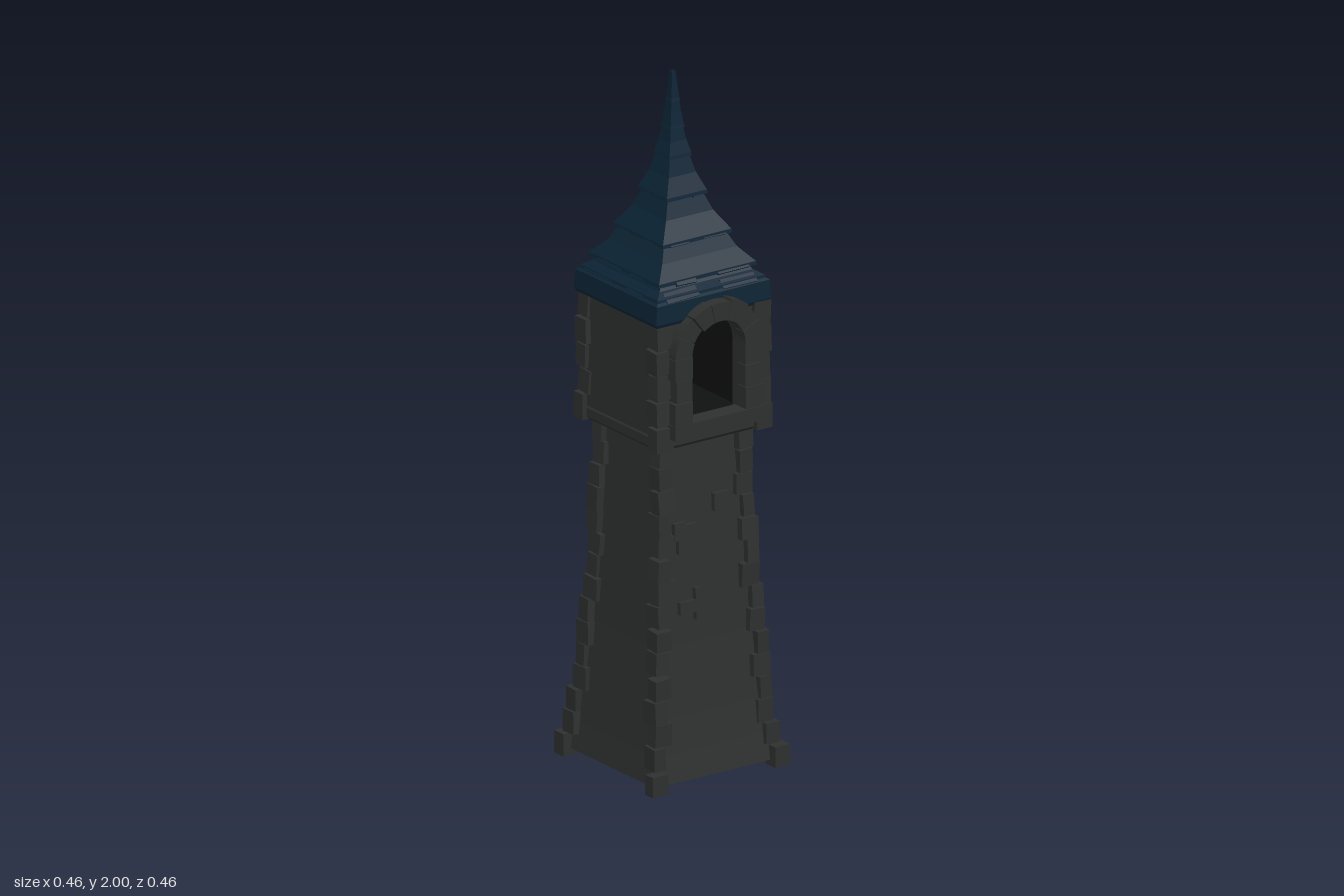
import * as THREE from 'three';

const makeMaterial = (color) => new THREE.MeshStandardMaterial({ color, flatShading: true, side: THREE.DoubleSide });
const stone = makeMaterial(0x2e3030);
const darkStone = makeMaterial(0x101111);
const slate = makeMaterial(0x0c2435);

// Half width of the tapering shaft at [height, half width]
const TAPER = [[0.02, 0.206], [0.1, 0.194], [0.2, 0.183], [0.4, 0.163], [0.7, 0.145], [1.0, 0.134]];
const CHAMBER = 0.178;

function shaftHalf(y) {
  for (let i = 1; i < TAPER.length; i++) {
    const [y0, h0] = TAPER[i - 1], [y1, h1] = TAPER[i];
    if (y <= y1) return h0 + (h1 - h0) * Math.max(0, (y - y0) / (y1 - y0));
  }
  return 0.134;
}

function seeded(seed) {
  return () => (seed = (seed * 16807) % 2147483647) / 2147483647;
}

function add(parent, name, geometry, material, x = 0, y = 0, z = 0) {
  const mesh = new THREE.Mesh(geometry, material);
  mesh.name = name;
  mesh.position.set(x, y, z);
  parent.add(mesh);
  return mesh;
}

// Square solid whose half width follows a [half width, height] profile
function squareLathe(profile) {
  const pts = profile.map(([h, y]) => new THREE.Vector2(h * Math.SQRT2, y));
  return new THREE.LatheGeometry(pts, 4, Math.PI / 4);
}

function namedGroup(parent, name) {
  const g = new THREE.Group();
  g.name = name;
  parent.add(g);
  return g;
}

// Stack of uneven blocks up each of the four corners
function cornerStones(parent, name, y0, y1, count, half, out, rand) {
  const group = namedGroup(parent, name);
  const step = (y1 - y0) / count;
  for (const sx of [-1, 1]) for (const sz of [-1, 1]) {
    for (let i = 0; i < count; i++) {
      const y = y0 + (i + 0.5) * step;
      const edge = half(y) + out * (i === 0 ? 1.25 : 0.5 + 0.65 * rand());
      const wx = (i % 2 ? 0.036 : 0.048) + 0.012 * rand();
      const wz = (i % 2 ? 0.048 : 0.036) + 0.012 * rand();
      const block = add(group, 'cornerStone', new THREE.BoxGeometry(wx, step * (0.88 + 0.16 * rand()), wz),
        stone, sx * (edge - wx / 2), y, sz * (edge - wz / 2));
      if (i > 0) block.rotation.set((rand() - 0.5) * 0.14, (rand() - 0.5) * 0.14, (rand() - 0.5) * 0.14);
    }
  }
}

// Raised stones on one wall: [offset along the wall, height, width, block height]
function wallStones(parent, name, list, turn) {
  const group = namedGroup(parent, name);
  group.rotation.y = turn;
  for (const [u, y, w, h] of list) {
    const inShaft = y < 0.99;
    const face = inShaft ? shaftHalf(y) : CHAMBER;
    const block = add(group, 'wallStone', new THREE.BoxGeometry(w, h, 0.03), stone, u, y, face);
    if (inShaft) block.rotation.x = -Math.atan((shaftHalf(y - 0.05) - shaftHalf(y + 0.05)) / 0.1);
  }
}

// Arched outline from a flat bottom edge up to a round head
function archPath(path, half, bottom, spring) {
  path.moveTo(-half, bottom);
  path.lineTo(half, bottom);
  path.lineTo(half, spring);
  path.absarc(0, spring, half, 0, Math.PI, false);
  path.lineTo(-half, bottom);
  return path;
}

function buildChamber(parent) {
  const g = namedGroup(parent, 'chamber');
  const c = CHAMBER, bottom = 0.99, top = 1.36, t = 0.025;
  const h = top - bottom, mid = (top + bottom) / 2;
  add(g, 'chamberBase', squareLathe([[0, 0.98], [0.172, 0.98], [0.181, 0.99], [0.181, 1.015], [c, 1.02], [0, 1.02]]), stone);
  // Front wall with the arched opening
  const wall = new THREE.Shape();
  wall.moveTo(-c, bottom).lineTo(c, bottom).lineTo(c, top).lineTo(-c, top).lineTo(-c, bottom);
  wall.holes.push(archPath(new THREE.Path(), 0.09, 1.04, 1.25));
  add(g, 'frontWall', new THREE.ExtrudeGeometry(wall, { depth: t, bevelEnabled: false, curveSegments: 10 }), stone, 0, 0, c - t);
  // Remaining walls and ceiling around the hollow room
  add(g, 'backWall', new THREE.BoxGeometry(2 * c, h, t), stone, 0, mid, -c + t / 2);
  for (const s of [-1, 1]) {
    add(g, 'sideWall', new THREE.BoxGeometry(t, h, 2 * c), stone, s * (c - t / 2), mid, 0);
    add(g, 'roomLining', new THREE.BoxGeometry(0.004, 0.32, 0.3), darkStone, s * (c - t - 0.002), 1.185, 0);
  }
  add(g, 'ceiling', new THREE.BoxGeometry(2 * c, 0.02, 2 * c), stone, 0, top - 0.01, 0);
  add(g, 'roomFloor', new THREE.BoxGeometry(0.3, 0.004, 0.3), darkStone, 0, 1.023, 0);
}

function buildWindowFrame(parent, rand) {
  const g = namedGroup(parent, 'windowFrame');
  const inner = 0.09, spring = 1.25, z0 = 0.165;
  // Wedge stones round the arch, the middle three standing proudest
  const n = 7;
  for (let i = 0; i < n; i++) {
    const a0 = (i + 0.02) * Math.PI / n, a1 = (i + 0.98) * Math.PI / n;
    const outer = 0.143 + 0.008 * rand();
    const s = new THREE.Shape();
    s.absarc(0, spring, outer, a0, a1, false);
    s.absarc(0, spring, inner, a1, a0, true);
    s.closePath();
    const depth = Math.abs(i - 3) < 2 ? 0.06 : 0.046 + 0.008 * rand();
    add(g, 'archStone', new THREE.ExtrudeGeometry(s, { depth, bevelEnabled: false, curveSegments: 3 }), stone, 0, 0, z0);
  }
  // Jamb stones and sill
  for (const s of [-1, 1]) for (let i = 0; i < 3; i++) {
    const w = (i % 2 ? 0.05 : 0.058) + 0.004 * rand(), d = 0.046 + 0.008 * rand();
    add(g, 'jambStone', new THREE.BoxGeometry(w, 0.062, d), stone, s * (inner + w / 2), 1.092 + i * 0.064, z0 + d / 2);
  }
  add(g, 'sill', new THREE.BoxGeometry(0.3, 0.042, 0.055), stone, 0, 1.04, z0 + 0.0275);
}

function buildRoof(parent, rand) {
  const g = namedGroup(parent, 'roof');
  g.position.set(0.004, 0, -0.003);
  add(g, 'eaves', squareLathe([[0, 1.345], [0.188, 1.345], [0.193, 1.355], [0.19, 1.408], [0.165, 1.425], [0, 1.43]]), slate);
  // Overlapping tiers: bottom height, bottom half width, top height, top half width
  const tiers = [
    [1.412, 0.182, 1.46, 0.14], [1.45, 0.165, 1.55, 0.1], [1.54, 0.117, 1.665, 0.054], [1.65, 0.069, 1.77, 0.03],
    [1.757, 0.038, 1.85, 0.019], [1.838, 0.024, 1.925, 0.012], [1.915, 0.015, 2.0, 0.006],
  ];
  tiers.forEach(([y0, h0, y1, h1], i) => {
    const ym = y0 + (y1 - y0) * 0.5, hm = h1 + (h0 - h1) * 0.4;
    const tier = add(g, 'roofTier', squareLathe([[0, y0], [h0, y0], [h0 - 0.002, y0 + 0.01], [hm, ym], [h1, y1], [0, y1]]), slate);
    // Loose slates along the lower edge of the wide tiers
    if (i > 3) return;
    const slope = Math.atan2(h0 - hm, ym - y0);
    for (let side = 0; side < 4; side++) {
      const row = namedGroup(tier, 'slateRow');
      row.rotation.y = side * Math.PI / 2;
      for (let k = 0; k < 2; k++) {
        const w = h0 * (0.35 + 0.35 * rand()), len = 0.02 + 0.015 * rand();
        const tile = add(row, 'slate', new THREE.BoxGeometry(w, len, 0.008), slate,
          (k - 0.5) * h0 * (0.7 + 0.4 * rand()), y0 + 0.008, h0 - 0.008);
        tile.rotation.set(-slope, 0, (rand() - 0.5) * 0.08);
      }
    }
  });
}

export function createModel() {
  const model = new THREE.Group();
  model.name = 'tower';
  const rand = seeded(4711);

  const profile = TAPER.map(([y, h]) => [h, y]);
  add(model, 'shaft', squareLathe([[0, 0.02], ...profile, [0, 1.0]]), stone);
  cornerStones(model, 'shaftCorners', 0, 0.985, 15, shaftHalf, 0.021, rand);

  const upper = namedGroup(model, 'upperStorey');
  upper.position.x = 0.003;
  buildChamber(upper);
  cornerStones(upper, 'chamberCorners', 0.98, 1.35, 5, () => CHAMBER, 0.013, rand);
  buildWindowFrame(upper, rand);

  wallStones(model, 'frontStones', [
    [-0.07, 0.965, 0.06, 0.035], [0.055, 0.785, 0.05, 0.05], [-0.06, 0.7, 0.065, 0.08],
    [-0.085, 0.725, 0.04, 0.05], [-0.06, 0.505, 0.07, 0.035], [-0.03, 0.51, 0.025, 0.09],
  ], 0);
  wallStones(model, 'sideStones', [
    [-0.03, 0.945, 0.07, 0.065], [-0.055, 0.735, 0.07, 0.07], [-0.085, 0.675, 0.06, 0.04],
    [-0.075, 0.49, 0.07, 0.07], [0.0, 0.385, 0.06, 0.055], [0.03, 0.325, 0.07, 0.07],
    [-0.03, 1.22, 0.07, 0.07], [-0.08, 1.16, 0.075, 0.1], [0.012, 1.055, 0.07, 0.035],
    [0.09, 1.14, 0.06, 0.05], [0.07, 1.335, 0.1, 0.04],
  ], Math.PI / 2);

  buildRoof(model, rand);
  return model;
}
